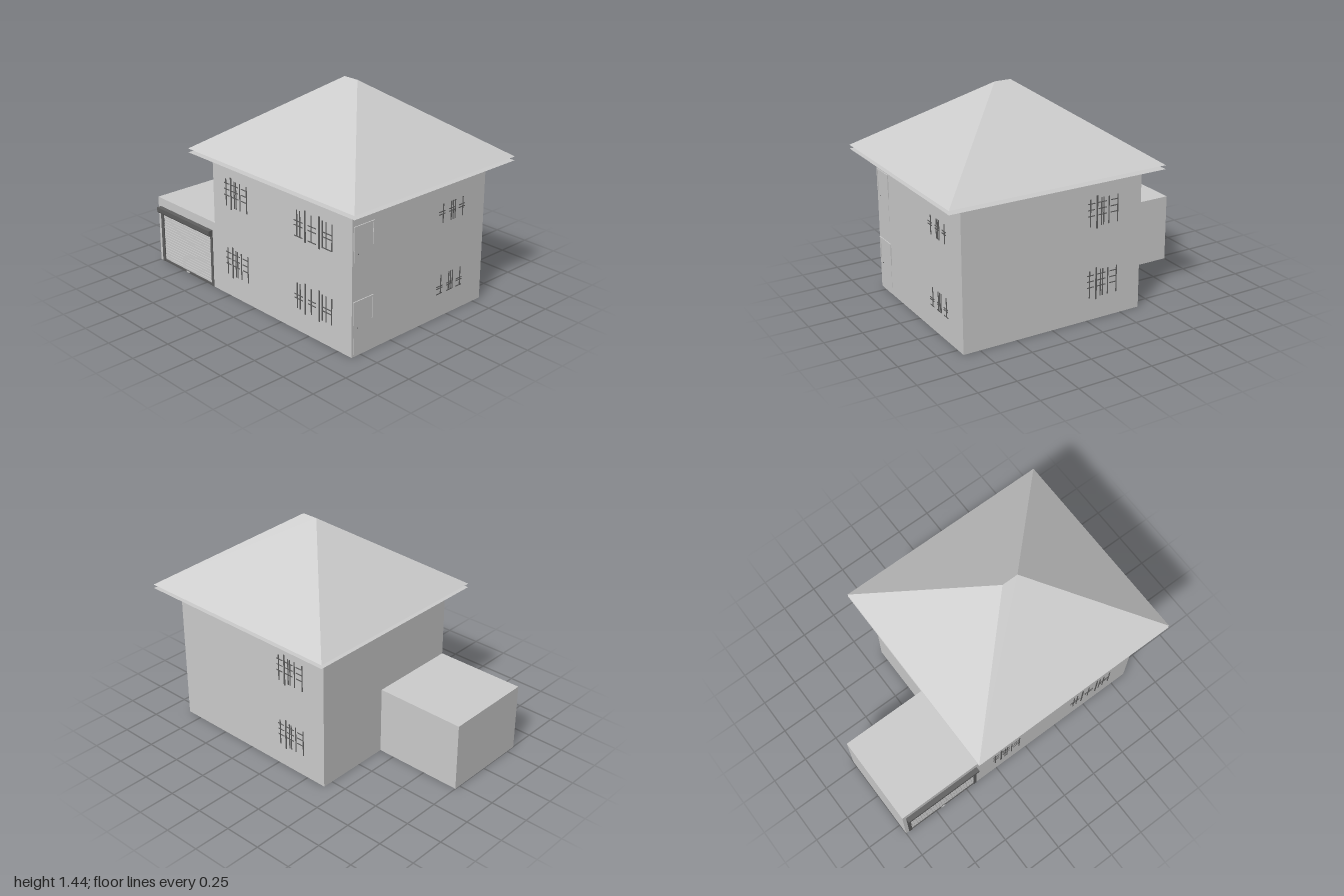
import * as THREE from 'three';

const pale = new THREE.MeshStandardMaterial({ color: 0xcccccc, flatShading: true, side: THREE.DoubleSide });
pale.name = 'pale grey plaster';
const dark = new THREE.MeshStandardMaterial({ color: 0x606060, flatShading: true });
dark.name = 'dark grey metal';

// Box given by its lower and upper limits on each axis
function box(parent, name, mat, x0, x1, y0, y1, z0, z1) {
  const m = new THREE.Mesh(new THREE.BoxGeometry(x1 - x0, y1 - y0, z1 - z0), mat);
  m.position.set((x0 + x1) / 2, (y0 + y1) / 2, (z0 + z1) / 2);
  m.name = name;
  parent.add(m);
  return m;
}

// Hipped roof: four slopes, a short ridge and a flat underside
function hippedRoof(x0, x1, z, y0, r0, r1, y1) {
  const A = [x0, y0, z], B = [x1, y0, z], C = [x1, y0, -z], D = [x0, y0, -z];
  const L = [r0, y1, 0], R = [r1, y1, 0];
  const tris = [A, B, R, A, R, L, B, C, R, C, D, L, C, L, R, D, A, L, A, D, C, A, C, B];
  const g = new THREE.BufferGeometry();
  g.setAttribute('position', new THREE.Float32BufferAttribute(tris.flat(), 3));
  g.computeVertexNormals();
  return g;
}

// Window bars in the local xy plane: uprights [x, tall?], rails over [from, to] spans
function windowBars(name, uprights, spans, y0, y1, railHeights) {
  const g = new THREE.Group();
  g.name = name;
  for (const [x, tall] of uprights) {
    const e = tall ? 0.017 : 0, w = tall ? 0.005 : 0.003;
    box(g, 'upright', dark, x - w, x + w, y0 - e, y1 + e, -0.002, 0.004);
  }
  for (const [a, b] of spans)
    for (const y of railHeights) box(g, 'rail', dark, a, b, y - 0.003, y + 0.003, -0.002, 0.003);
  return g;
}

export function createModel() {
  const model = new THREE.Group();
  model.name = 'house';

  // Main block, eaves sheet and roof
  box(model, 'houseWalls', pale, -0.39, 0.86, 0, 0.94, -0.57, 0.57);
  const eaves = new THREE.Mesh(new THREE.PlaneGeometry(1.475, 1.37), pale);
  eaves.rotation.x = -Math.PI / 2;
  eaves.position.set(0.2525, 0.941, 0);
  eaves.name = 'eavesSheet';
  model.add(eaves);
  const roof = new THREE.Mesh(hippedRoof(-0.485, 0.99, 0.685, 0.966, 0.2, 0.31, 1.443), pale);
  roof.name = 'roof';
  model.add(roof);

  // Hollow garage, open underneath
  const garage = new THREE.Group();
  garage.name = 'garage';
  model.add(garage);
  box(garage, 'garageRoof', pale, -1, -0.39, 0.4, 0.46, -0.04, 0.57);
  box(garage, 'garageBackWall', pale, -1, -0.39, 0, 0.4, -0.04, 0.05);
  box(garage, 'garageOuterWall', pale, -1, -0.97, 0, 0.4, 0.05, 0.57);
  box(garage, 'garageInnerWall', pale, -0.42, -0.39, 0, 0.4, 0.05, 0.57);

  // Roller shutter with slats, side rails, sill and handle
  const door = new THREE.Group();
  door.name = 'rollerShutter';
  garage.add(door);
  box(door, 'shutterSheet', pale, -0.95, -0.44, 0.015, 0.37, 0.55, 0.56);
  const slats = 18, pitch = 0.34 / slats;
  for (let i = 0; i < slats; i++) {
    const y = 0.017 + i * pitch;
    box(door, 'slat', pale, -0.95, -0.44, y, y + pitch * 0.82, 0.56, 0.566);
  }
  box(door, 'sideRail', dark, -0.975, -0.95, 0, 0.37, 0.545, 0.573);
  box(door, 'sideRail', dark, -0.44, -0.417, 0, 0.37, 0.545, 0.573);
  box(door, 'bottomBar', dark, -0.95, -0.44, 0, 0.015, 0.548, 0.57);
  box(door, 'handle', pale, -0.71, -0.68, 0.004, 0.013, 0.57, 0.574);

  // Shutter housing: rounded lower front edge, swept along x
  const profile = new THREE.Shape();
  profile.moveTo(0, 0.4);
  profile.lineTo(0.602, 0.4);
  profile.lineTo(0.602, 0.375);
  profile.quadraticCurveTo(0.602, 0.36, 0.59, 0.36);
  profile.lineTo(0.54, 0.36);
  profile.lineTo(0.54, 0.4);
  profile.curves.shift();
  const housing = new THREE.Mesh(
    new THREE.ExtrudeGeometry(profile, { depth: 0.558, bevelEnabled: false, curveSegments: 4 }), dark);
  housing.rotation.y = -Math.PI / 2;
  housing.position.x = -0.417;
  housing.name = 'shutterHousing';
  door.add(housing);

  // Window layouts
  const narrow = [[-0.262], [-0.214, 1], [-0.182], [-0.166], [-0.128], [-0.064]];
  const narrowSpans = [[-0.28, -0.23], [-0.205, -0.145], [-0.115, -0.064]];
  const wide = [[0.396], [0.422], [0.467, 1], [0.52], [0.588, 1], [0.615], [0.647], [0.695]];
  const wideSpans = [[0.37, 0.445], [0.49, 0.56], [0.61, 0.695]];
  const side = [[0.19], [0.263], [0.28], [0.298], [0.367]];
  const sideSpans = [[0.153, 0.206], [0.244, 0.298], [0.332, 0.385]];

  for (const [floor, drop] of [['upper', 0], ['lower', 0.47]]) {
    const y = (v) => v - drop;
    const rails = [0.77, 0.73, 0.69].map(y);
    // Front windows
    const a = windowBars(floor + 'FrontNarrowWindow', narrow, narrowSpans, y(0.62), y(0.8), rails);
    const b = windowBars(floor + 'FrontWideWindow', wide, wideSpans, y(0.62), y(0.79),
      drop ? [0.24, 0.215] : [0.72, 0.69, 0.622]);
    a.position.z = b.position.z = 0.57;
    // Back window
    const c = windowBars(floor + 'BackWindow', narrow, narrowSpans, y(0.62), y(0.8), rails);
    c.rotation.y = Math.PI;
    c.position.set(-0.28, 0, -0.57);
    // Side window
    const d = windowBars(floor + 'SideWindow', side, sideSpans, y(0.63), y(0.755),
      drop ? [0.21, 0.197, 0.16] : [0.707, 0.69]);
    d.rotation.y = Math.PI / 2;
    d.position.x = 0.86;
    model.add(a, b, c, d);

    // Side door: thin leaf, frame and knob
    const leaf = new THREE.Group();
    leaf.name = floor + 'SideDoor';
    const top = drop ? 0.355 : 0.823, foot = drop ? 0 : 0.468;
    box(leaf, 'doorLeaf', pale, 0.858, 0.8615, foot, top - 0.01, 0.408, 0.552);
    box(leaf, 'doorHead', pale, 0.858, 0.866, top - 0.01, top, 0.399, 0.561);
    for (const z of [0.399, 0.552])
      box(leaf, 'doorPost', pale, 0.858, 0.866, top - 0.148, top - 0.01, z, z + 0.009);
    box(leaf, 'doorKnob', dark, 0.858, 0.865, top - 0.177, top - 0.172, 0.524, 0.529);
    model.add(leaf);
  }
  return model;
}
